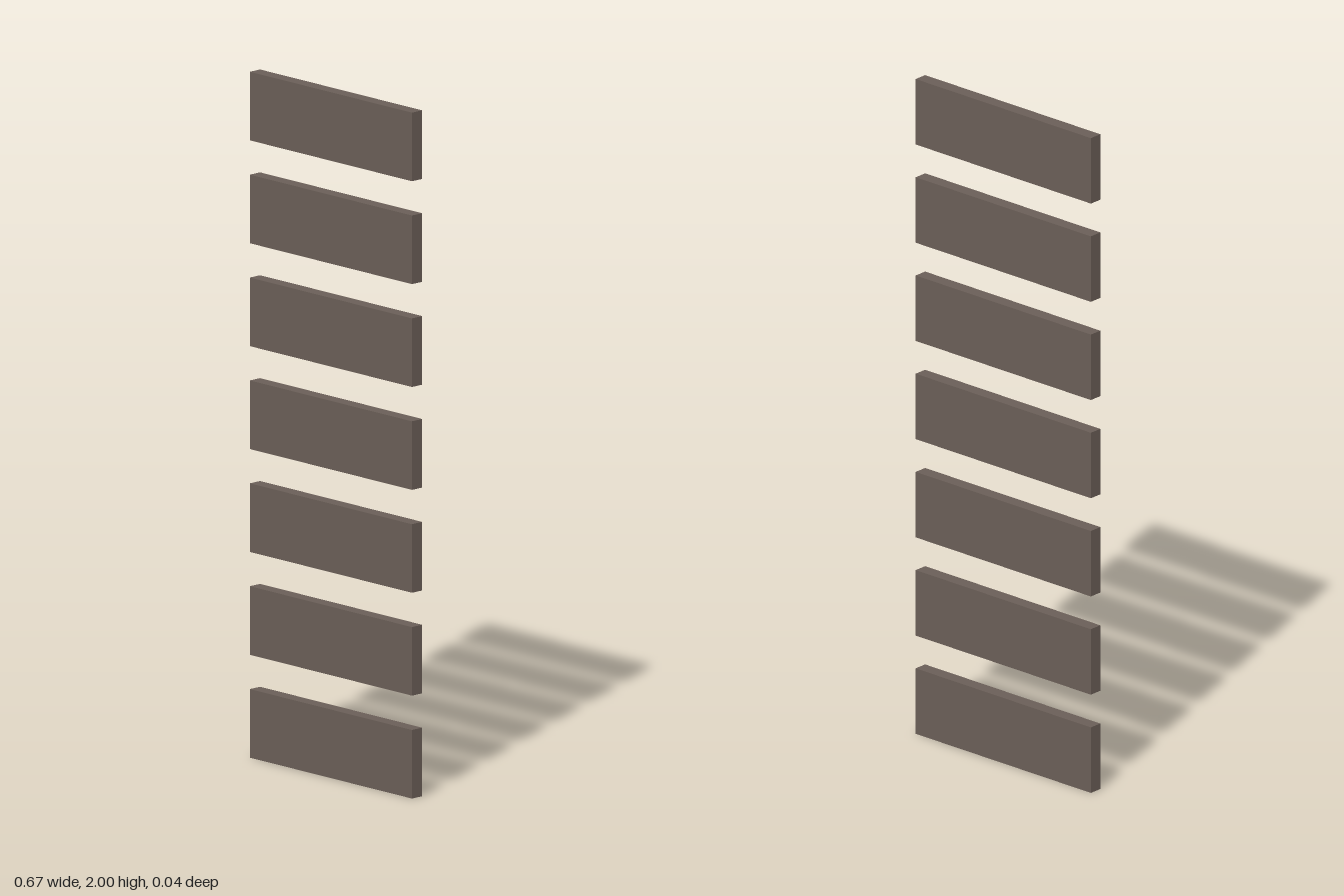
import * as THREE from 'three';

const SLAT_COUNT = 7;
const WIDTH = 0.667, HEIGHT = 0.2, DEPTH = 0.04;
const SPACING = 0.3;

export function createModel() {
  const model = new THREE.Group();
  model.name = 'slats';

  const wood = new THREE.MeshStandardMaterial({ color: 0x6b5f58 });
  wood.name = 'dark wood';

  // Evenly spaced flat boards, stacked upwards from the ground
  const board = new THREE.BoxGeometry(WIDTH, HEIGHT, DEPTH);
  for (let i = 0; i < SLAT_COUNT; i++) {
    const slat = new THREE.Mesh(board, wood);
    slat.name = `slat${i + 1}`;
    slat.position.y = HEIGHT / 2 + i * SPACING;
    model.add(slat);
  }
  return model;
}
